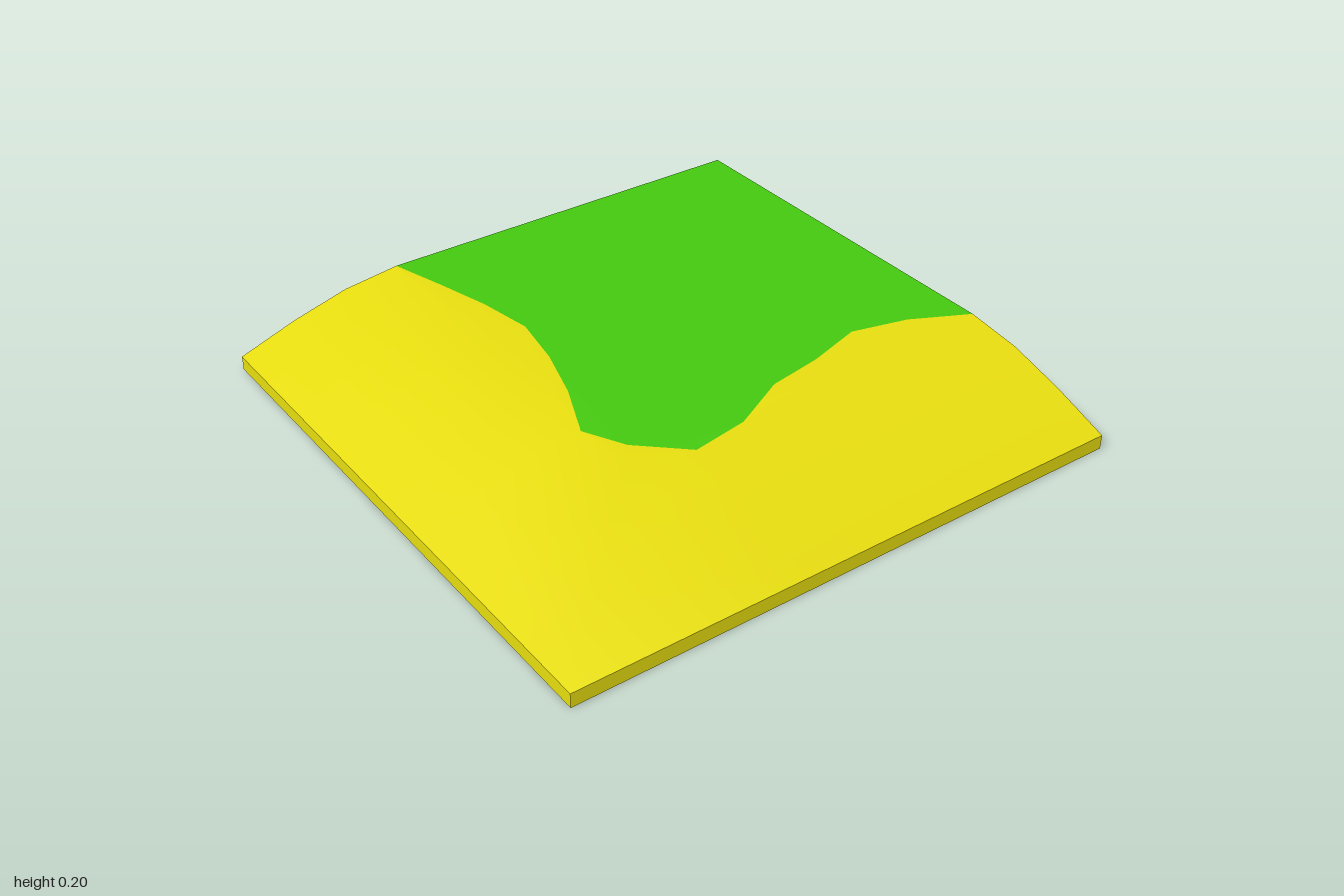
import * as THREE from 'three';
import { mergeGeometries } from 'three/addons/utils/BufferGeometryUtils.js';

// Slope profile: distance from the shore edge, height
const PROFILE = [[0, 0.05], [0.2, 0.12], [0.4, 0.175], [0.6, 0.2]];
// Where grass meets sand, as [x, z]: along the left shore, round the corner, along the front shore
const LEFT = [[-0.4, -1], [-0.34, -0.8], [-0.285, -0.6], [-0.25, -0.4], [-0.285, -0.2], [-0.345, 0], [-0.43, 0.2]];
const CORNER = [[-0.36, 0.345]];
const FRONT = [[-0.2, 0.475], [0, 0.445], [0.2, 0.345], [0.4, 0.31], [0.6, 0.25], [0.8, 0.3], [1, 0.4]];
const BORDER = [...LEFT, ...CORNER, ...FRONT];

const shoreDistance = (x, z) => Math.min(x + 1, 1 - z);

function height(d) {
  for (let i = 1; i < PROFILE.length; i++) {
    const [d0, h0] = PROFILE[i - 1], [d1, h1] = PROFILE[i];
    if (d <= d1) return h0 + (h1 - h0) * (d - d0) / (d1 - d0);
  }
  return 0.2;
}

const flatShape = (points) =>
  new THREE.ShapeGeometry(new THREE.Shape(points.map(([x, y]) => new THREE.Vector2(x, y))));

// Sloping surface: rows run from the shore edge up to the grass border
function slopeGeometry() {
  const positions = [], index = [], rows = 5;
  BORDER.forEach(([x, z], i) => {
    const edge = shoreDistance(x, z);
    const onLeft = i < LEFT.length, onCorner = i === LEFT.length;
    for (const d of [0, 0.2, 0.4, Math.min(0.6, edge)]) {
      positions.push(onLeft || onCorner ? d - 1 : x, height(d), onLeft ? z : 1 - d);
    }
    positions.push(x, height(edge), z);
  });
  for (let i = 0; i < BORDER.length - 1; i++) {
    for (let j = 0; j < rows - 1; j++) {
      const a = i * rows + j, b = a + rows;
      index.push(a, b, a + 1, b, b + 1, a + 1);
    }
  }
  const geometry = new THREE.BufferGeometry();
  geometry.setAttribute('position', new THREE.Float32BufferAttribute(positions, 3));
  geometry.setIndex(index);
  geometry.computeVertexNormals();
  return geometry;
}

// Level grass surface, following the border
function grassGeometry() {
  const geometry = flatShape([...BORDER, [1, -1]].map(([x, z]) => [x, -z])).rotateX(-Math.PI / 2);
  const p = geometry.attributes.position;
  for (let i = 0; i < p.count; i++) p.setY(i, height(shoreDistance(p.getX(i), p.getZ(i))));
  geometry.computeVertexNormals();
  return geometry;
}

export function createModel() {
  const tile = new THREE.Group();
  tile.name = 'shoreCornerTile';
  const sand = new THREE.MeshStandardMaterial({ color: 0xe6dc0f, side: THREE.DoubleSide });
  const grass = new THREE.MeshStandardMaterial({ color: 0x44c80f, side: THREE.DoubleSide });
  const add = (name, geometry, material) => {
    const mesh = new THREE.Mesh(geometry, material);
    mesh.name = name;
    tile.add(mesh);
  };

  // Top surfaces
  add('sandSlope', slopeGeometry(), sand);
  add('grassTop', grassGeometry(), grass);

  // Sand walls: curved cut ends and the low outer rim
  const end = [[0, 0], [0.6, 0], ...[...PROFILE].reverse()];
  add('sandWalls', mergeGeometries([
    flatShape(end).rotateY(Math.PI / 2).translate(1, 0, 1),
    flatShape(end.map(([d, h]) => [-d, h])).rotateY(Math.PI).translate(-1, 0, -1),
  ]), sand);
  add('sandRim', mergeGeometries([
    new THREE.PlaneGeometry(2, 0.05).translate(0, 0.025, 1),
    new THREE.PlaneGeometry(2, 0.05).rotateY(-Math.PI / 2).translate(-1, 0.025, 0),
  ]), sand);

  // Grass walls
  add('grassWalls', mergeGeometries([
    new THREE.PlaneGeometry(1.4, 0.2).rotateY(Math.PI / 2).translate(1, 0.1, -0.3),
    new THREE.PlaneGeometry(1.4, 0.2).rotateY(Math.PI).translate(0.3, 0.1, -1),
  ]), grass);

  // Underside
  const underside = (points) => flatShape(points).rotateX(Math.PI / 2);
  add('sandBase', underside([[-1, -1], [-0.4, -1], [-0.4, 0.4], [1, 0.4], [1, 1], [-1, 1]]), sand);
  add('grassBase', underside([[-0.4, -1], [1, -1], [1, 0.4], [-0.4, 0.4]]), grass);

  return tile;
}
